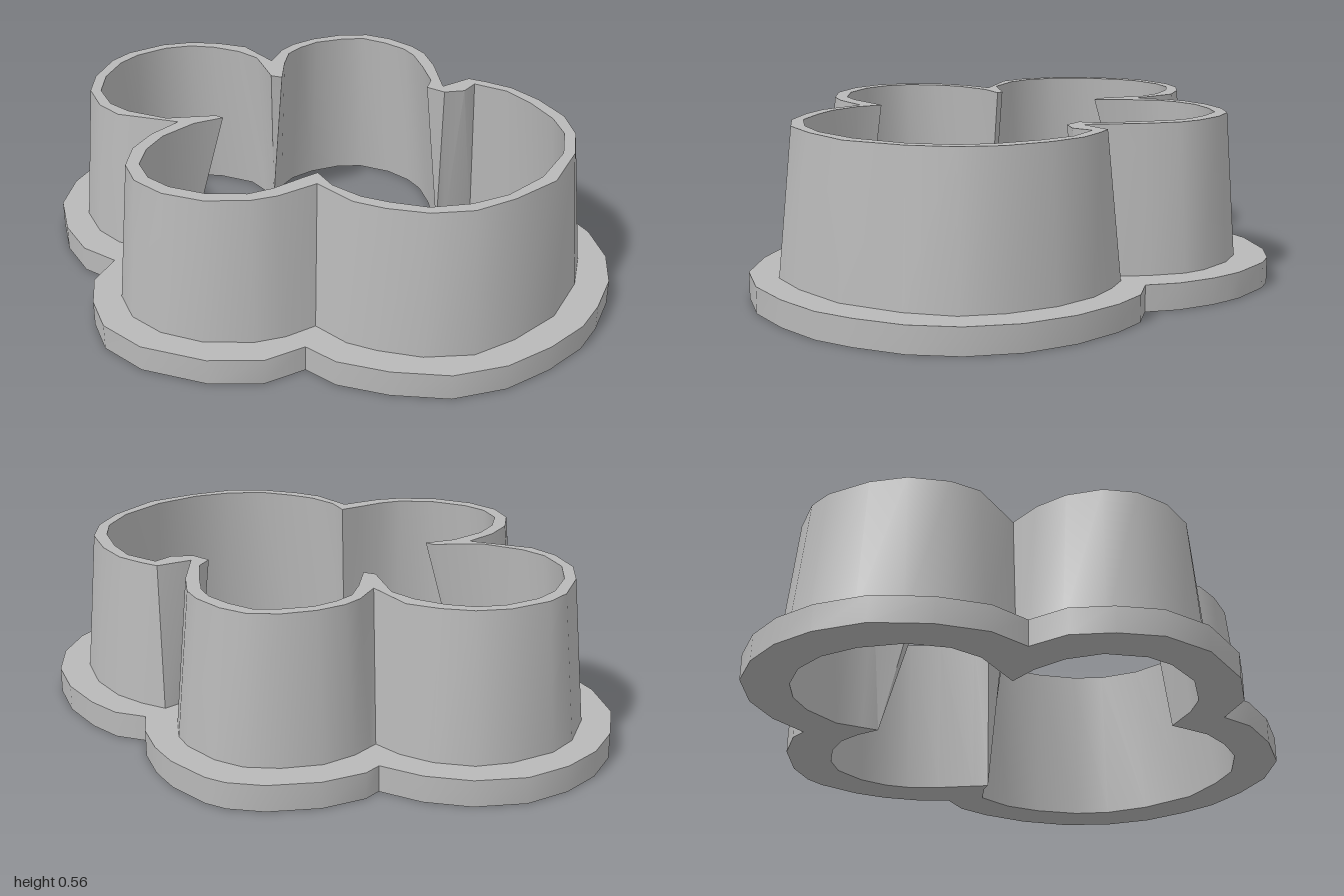
import * as THREE from 'three';
import { toCreasedNormals } from 'three/addons/utils/BufferGeometryUtils.js';

// Outlines seen from above: x, z pairs in hundredths, clockwise from the back
const flangeOuter = [
  10, -99, 24, -94, 36, -83, 43, -70, 46, -56, 52, -56, 65, -50, 77, -39, 83, -29, 84.5, -22, 83.5, -7,
  82, -2, 80, 4, 74, 15, 66.5, 23, 70.5, 33, 70, 45, 66, 61, 58, 76, 46, 88, 32, 95.5, 16, 99, 3, 100,
  -13, 97, -29, 91, -43, 80, -52, 64, -57, 48, -56, 36, -69, 30, -79, 16, -85, -5, -83, -22,
  -75, -34, -65, -43, -52, -46, -52, -60, -45, -75, -33, -89, -18, -97, -4, -100];
const wallFoot = [
  -6, -90.5, 5, -90.5, 19, -85, 28, -78, 34, -67, 36, -56, 35, -46, 38, -46, 45, -46, 56, -43, 66, -35,
  72.5, -26, 74.5, -16, 73, -3, 70, 4, 62, 13, 51, 22, 58, 23, 60, 32, 60.5, 43, 57, 57, 49, 71, 39, 81,
  24, 87, 3, 90, -16, 86, -30, 80, -40, 68, -45, 55, -47, 45, -45, 32, -55, 28, -63, 22, -72, 9,
  -75.5, -5, -74, -18, -67, -29, -56, -36, -44, -38, -38, -38, -42, -53, -40, -64, -33, -76, -21, -85];
const wallTop = [
  -5, -86, 4, -86, 17, -81, 25, -74, 30, -65, 33, -55, 28, -39, 38, -42, 45, -42, 54, -39, 63, -33,
  69, -25, 70.5, -16, 69, -5, 66, 2, 58, 11, 44, 23, 55, 27, 56, 33, 56.5, 43, 53, 55, 46, 68, 36, 77,
  23, 83, 3, 86.5, -14, 82, -27, 76, -36, 66, -41, 54, -43, 44, -40, 29, -53, 24, -60, 19, -68, 8,
  -71.5, -5, -70, -17, -64, -26, -54, -32, -43, -34, -31, -33, -38, -53, -36, -63, -29, -74, -19, -81];
const openingTop = [
  -5, -82, 4, -82, 15, -78, 22, -72, 26, -64, 28, -54, 27, -45, 17, -31, 18, -27, 29, -34, 37, -38,
  44, -38, 52, -36, 60, -30, 65, -24, 66, -15, 65, -6, 62, 0, 55, 8, 46, 17, 40, 19, 40, 26, 45, 31,
  52, 31, 53, 43, 49, 54, 42, 66, 34, 74, 21, 80, 3, 82, -13, 79, -24, 73, -33, 64, -37, 53, -39, 44,
  -38, 33, -34, 25, -40, 23, -50, 20, -57, 16, -64, 6, -67, -6, -66, -15, -61, -23, -52, -28,
  -42, -30, -29, -28, -20, -23, -20, -26, -31, -38, -34, -52, -33, -61, -27, -71, -17, -78];

const FLANGE = 0.085, HEIGHT = 0.555;

function points(list, zSign = 1) {
  const out = [];
  for (let i = 0; i < list.length; i += 2) out.push(new THREE.Vector2(list[i] / 100, zSign * list[i + 1] / 100));
  return out;
}

// Move each point of an outline to the nearest place on another outline
function project(list, target) {
  const t = points(target).map(p => new THREE.Vector3(p.x, 0, p.y));
  const edges = t.map((p, i) => new THREE.Line3(p, t[(i + 1) % t.length]));
  return points(list).flatMap(p => {
    const from = new THREE.Vector3(p.x, 0, p.y);
    const near = edges
      .map(e => e.closestPointToPoint(from, true, new THREE.Vector3()))
      .reduce((a, b) => (b.distanceTo(from) < a.distanceTo(from) ? b : a));
    return [near.x * 100, near.z * 100];
  });
}

// Upright band between two matching outlines
function band(lower, yLow, upper, yHigh, inward = false) {
  const a = points(lower), b = points(upper), pos = [], index = [], n = a.length;
  for (let i = 0; i < n; i++) {
    pos.push(a[i].x, yLow, a[i].y, b[i].x, yHigh, b[i].y);
    const l = 2 * i, u = l + 1, l2 = 2 * ((i + 1) % n), u2 = l2 + 1;
    if (inward) index.push(l, l2, u, l2, u2, u);
    else index.push(l, u, l2, l2, u, u2);
  }
  const g = new THREE.BufferGeometry();
  g.setAttribute('position', new THREE.Float32BufferAttribute(pos, 3));
  g.setIndex(index);
  return toCreasedNormals(g, 0.75);
}

// Flat ring between an outline and a hole
function ring(outer, hole, y, down = false) {
  const s = down ? 1 : -1;
  const shape = new THREE.Shape(points(outer, s));
  shape.holes.push(new THREE.Path(points(hole, s)));
  return new THREE.ShapeGeometry(shape).rotateX(s * Math.PI / 2).translate(0, y, 0);
}

export function createModel() {
  const model = new THREE.Group();
  model.name = 'cookieCutter';
  const grey = new THREE.MeshStandardMaterial({ color: 0xb8b8b8 });
  grey.name = 'grey plastic';
  const add = (name, geometry) => {
    const mesh = new THREE.Mesh(geometry, grey);
    mesh.name = name;
    model.add(mesh);
  };
  // The opening widens towards the foot, parallel to the outside of the wall
  const openingFoot = project(openingTop, wallTop);

  // Wide flange at the foot
  add('flangeEdge', band(flangeOuter, 0, flangeOuter, FLANGE));
  add('flangeTop', ring(flangeOuter, wallFoot, FLANGE));
  add('flangeUnderside', ring(flangeOuter, openingFoot, 0, true));

  // Leaning wall with its rim
  add('wallOutside', band(wallFoot, FLANGE, wallTop, HEIGHT));
  add('wallInside', band(openingFoot, 0, openingTop, HEIGHT, true));
  add('rim', ring(wallTop, openingTop, HEIGHT));
  return model;
}
